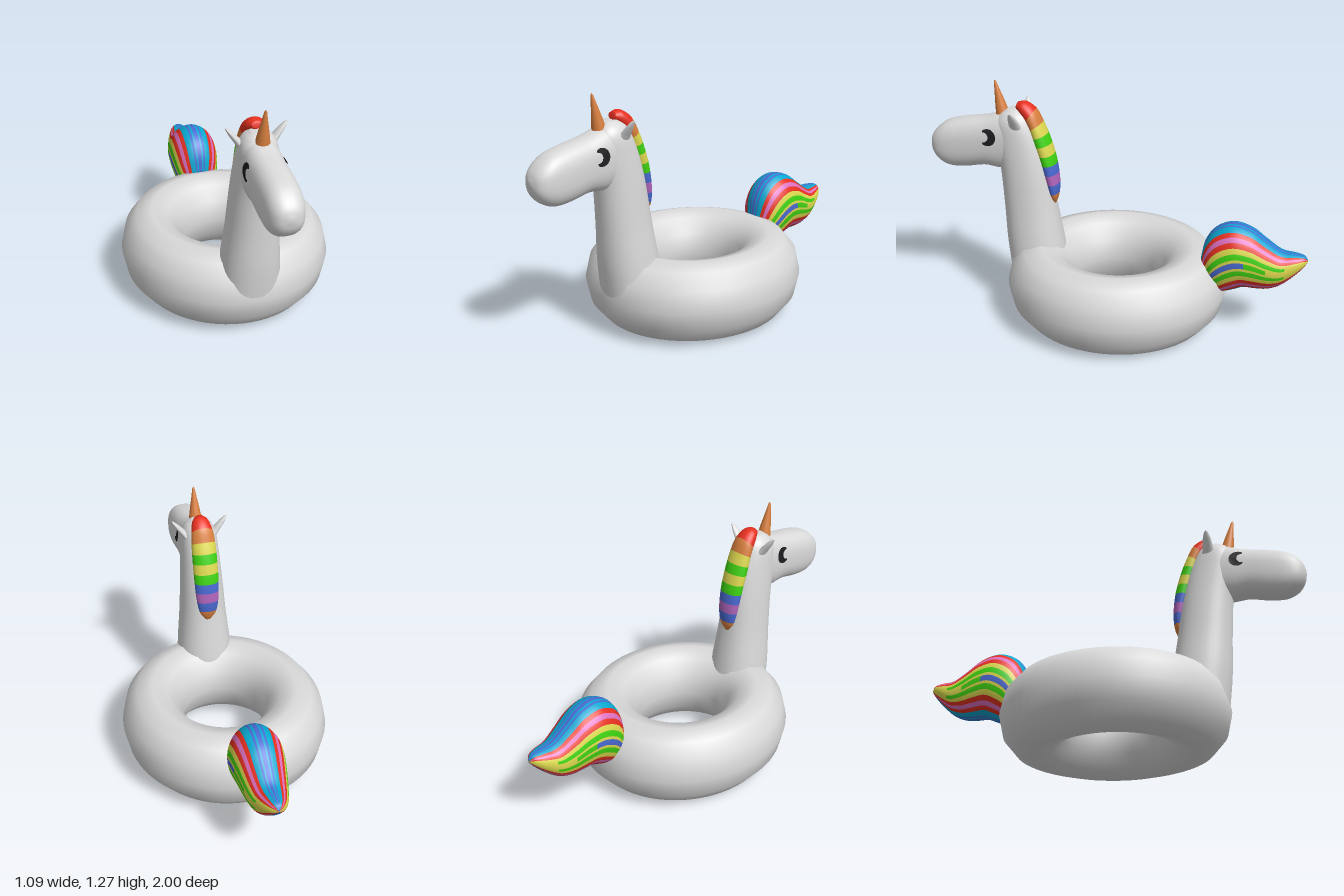
import * as THREE from 'three';

const mat = (name, color, side = THREE.FrontSide) => {
  const m = new THREE.MeshStandardMaterial({ color, side });
  m.name = name;
  return m;
};

export function createModel() {
  const white = mat('white', 0xd9d9d9);
  const black = mat('black', 0x1c1c20, THREE.DoubleSide);
  const orange = mat('orange', 0xd9803f);
  const rainbow = {
    r: mat('red', 0xe6301f), o: orange, y: mat('yellow', 0xdcd84f),
    g: mat('green', 0x3fd312), b: mat('blue', 0x4a6ad2),
    m: mat('mauve', 0xb266bd), p: mat('pink', 0xdc70c0), c: mat('cyan', 0x08a8cf),
  };
  const group = new THREE.Group();
  const add = (name, geometry, material, parent = group) => {
    const mesh = new THREE.Mesh(geometry, material);
    mesh.name = name;
    parent.add(mesh);
    return mesh;
  };

  // Smooth body through sections [az, ay, bz, by, halfWidth]: A and B are opposite
  // edges on the mirror plane; paint(row, column, y) picks a colour key per quad.
  function loft(name, sections, { rows = 40, sides = 36, power = 2, paint } = {}) {
    const a = new THREE.CatmullRomCurve3(sections.map(s => new THREE.Vector3(s[4], s[1], s[0])), false, 'catmullrom');
    const b = new THREE.CatmullRomCurve3(sections.map(s => new THREE.Vector3(0, s[3], s[2])), false, 'catmullrom');
    const round = v => Math.sign(v) * Math.abs(v) ** (2 / power);
    const pos = [], mid = [], buckets = {};
    for (let i = 0; i <= rows; i++) {
      const A = a.getPoint(i / rows), B = b.getPoint(i / rows);
      const cy = (A.y + B.y) / 2, cz = (A.z + B.z) / 2;
      mid.push([cy, cz]);
      for (let j = 0; j < sides; j++) {
        const t = j / sides * Math.PI * 2, c = round(Math.cos(t));
        pos.push(A.x * round(Math.sin(t)), cy + (A.y - cy) * c, cz + (A.z - cz) * c);
      }
    }
    const first = pos.length / 3, last = rows * sides;
    pos.push(0, ...mid[0], 0, ...mid[rows]);
    const face = (i, j, ...ids) => {
      const y = (mid[i][0] + mid[Math.min(i + 1, rows)][0]) / 2;
      const key = paint ? paint(i / rows, j, y) : 'w';
      (buckets[key] ??= []).push(...ids);
    };
    for (let j = 0; j < sides; j++) {
      const k = (j + 1) % sides;
      face(0, j, first, k, j);
      for (let i = 0; i < rows; i++) {
        const p = i * sides, q = p + sides;
        face(i, j, p + j, p + k, q + j, p + k, q + k, q + j);
      }
      face(rows, j, first + 1, last + j, last + k);
    }
    const geo = new THREE.BufferGeometry();
    const index = [], mats = [];
    for (const [key, ids] of Object.entries(buckets)) {
      geo.addGroup(index.length, ids.length, mats.length);
      for (const id of ids) index.push(id);
      mats.push(rainbow[key] ?? white);
    }
    geo.setAttribute('position', new THREE.Float32BufferAttribute(pos, 3));
    geo.setIndex(index);
    geo.computeVertexNormals();
    if (!paint) geo.clearGroups();
    return add(name, geo, paint ? mats : white);
  }

  // Inflated ring, twelve-sided in section
  const ring = new THREE.TorusGeometry(0.38, 0.165, 12, 64);
  ring.rotateX(Math.PI / 2).scale(1, 0.21 / 0.165, 1.072).translate(0, 0.21, -0.005);
  add('swimRing', ring, white);

  // Neck, front edge to back edge
  loft('neck', [
    [0.57, 0.2, 0.27, 0.25, 0.16], [0.593, 0.4, 0.295, 0.42, 0.146],
    [0.603, 0.6, 0.325, 0.6, 0.127], [0.617, 0.8, 0.355, 0.8, 0.113],
    [0.64, 0.95, 0.39, 0.95, 0.102], [0.64, 1.05, 0.43, 1.05, 0.092],
    [0.61, 1.1, 0.46, 1.1, 0.07], [0.57, 1.128, 0.5, 1.128, 0.035],
  ], { power: 2.2 });

  // Head and muzzle, underside to top
  loft('head', [
    [0.44, 0.88, 0.44, 1.03, 0.05], [0.51, 0.82, 0.5, 1.11, 0.088],
    [0.61, 0.8, 0.59, 1.105, 0.094], [0.7, 0.808, 0.69, 1.077, 0.094],
    [0.8, 0.79, 0.8, 1.058, 0.095], [0.89, 0.786, 0.89, 1.037, 0.092],
    [0.95, 0.812, 0.945, 1.005, 0.08], [0.985, 0.855, 0.982, 0.965, 0.054],
    [0.998, 0.9, 0.998, 0.925, 0.014],
  ], { power: 2.5 });

  // Striped mane down the back of the neck
  const maneStripes = 'roygygbmbo';
  loft('mane', [
    [0.515, 1.163, 0.525, 1.13, 0.025], [0.475, 1.168, 0.5, 1.1, 0.045],
    [0.42, 1.13, 0.475, 1.06, 0.058], [0.385, 1.06, 0.455, 1.02, 0.064],
    [0.353, 0.983, 0.44, 0.96, 0.066], [0.32, 0.865, 0.405, 0.855, 0.066],
    [0.306, 0.75, 0.375, 0.745, 0.06], [0.31, 0.67, 0.355, 0.67, 0.045],
    [0.325, 0.622, 0.34, 0.627, 0.015],
  ], {
    rows: 90,
    paint: (t, j, y) => maneStripes[THREE.MathUtils.clamp(Math.floor((1.15 - y) / 0.052), 0, 9)],
  });

  // Plume tail with lengthwise stripes, mirrored side to side and top to bottom
  const tailStripes = 'bcbcccrrpprryyggyb';
  loft('tail', [
    [-0.455, 0.4, -0.54, 0.22, 0.09], [-0.475, 0.5, -0.595, 0.228, 0.118],
    [-0.525, 0.575, -0.64, 0.245, 0.131], [-0.61, 0.613, -0.69, 0.265, 0.133],
    [-0.705, 0.593, -0.75, 0.264, 0.122], [-0.785, 0.538, -0.81, 0.27, 0.108],
    [-0.865, 0.487, -0.87, 0.297, 0.09], [-0.935, 0.479, -0.93, 0.35, 0.066],
    [-0.98, 0.471, -0.975, 0.4, 0.038], [-1, 0.45, -0.998, 0.432, 0.008],
  ], {
    rows: 54, sides: 72,
    paint: (t, j) => {
      const half = Math.min(j, 71 - j), k = Math.min(half, 35 - half);
      const key = tailStripes[k];
      if (k === 17 && t > 0.38) return t < 0.55 ? 'g' : 'y';
      if ((k === 14 || k === 15) && t > 0.7) return 'y';
      return key;
    },
  });

  // Horn, leaning slightly forward
  const hornProfile = [[0.037, -0.03], [0.034, 0], [0.026, 0.05], [0.015, 0.11], [0.006, 0.162], [0, 0.172]];
  const horn = add('horn', new THREE.LatheGeometry(hornProfile.map(p => new THREE.Vector2(...p)), 24), orange);
  horn.position.set(0, 1.103, 0.602);
  horn.rotation.x = 0.2;

  // Crescent eye laid on the cheek
  const eyeShape = new THREE.Shape();
  eyeShape.absarc(0.657, 0.988, 0.044, Math.PI * 0.3, Math.PI * 1.7, false);
  eyeShape.absarc(0.68, 0.988, 0.026, Math.PI * 1.55, Math.PI * 0.45, true);
  const eyeGeo = new THREE.ShapeGeometry(eyeShape, 20);
  const ep = eyeGeo.attributes.position;
  for (let i = 0; i < ep.count; i++) {
    const z = ep.getX(i), y = ep.getY(i);
    const bulge = (1 - Math.abs((y - 0.945) / 0.14) ** 2.5) ** 0.4;
    ep.setXYZ(i, 0.094 * bulge + 0.005, y, z);
  }
  eyeGeo.computeVertexNormals();

  // Leaf-shaped ear
  const earProfile = [[0.042, -0.02], [0.031, 0.015], [0.026, 0.045], [0.021, 0.08], [0.011, 0.112], [0, 0.124]];
  const earGeo = new THREE.LatheGeometry(earProfile.map(p => new THREE.Vector2(...p)), 20);
  earGeo.scale(0.6, 1, 1);

  for (const [label, s] of [['left', 1], ['right', -1]]) {
    const side = new THREE.Group();
    side.name = label + 'FaceSide';
    side.scale.x = s;
    group.add(side);
    add(label + 'Eye', eyeGeo, black, side);
    const ear = add(label + 'Ear', earGeo, white, side);
    ear.position.set(0.072, 1.05, 0.51);
    ear.rotation.z = -0.67;
  }
  return group;
}
